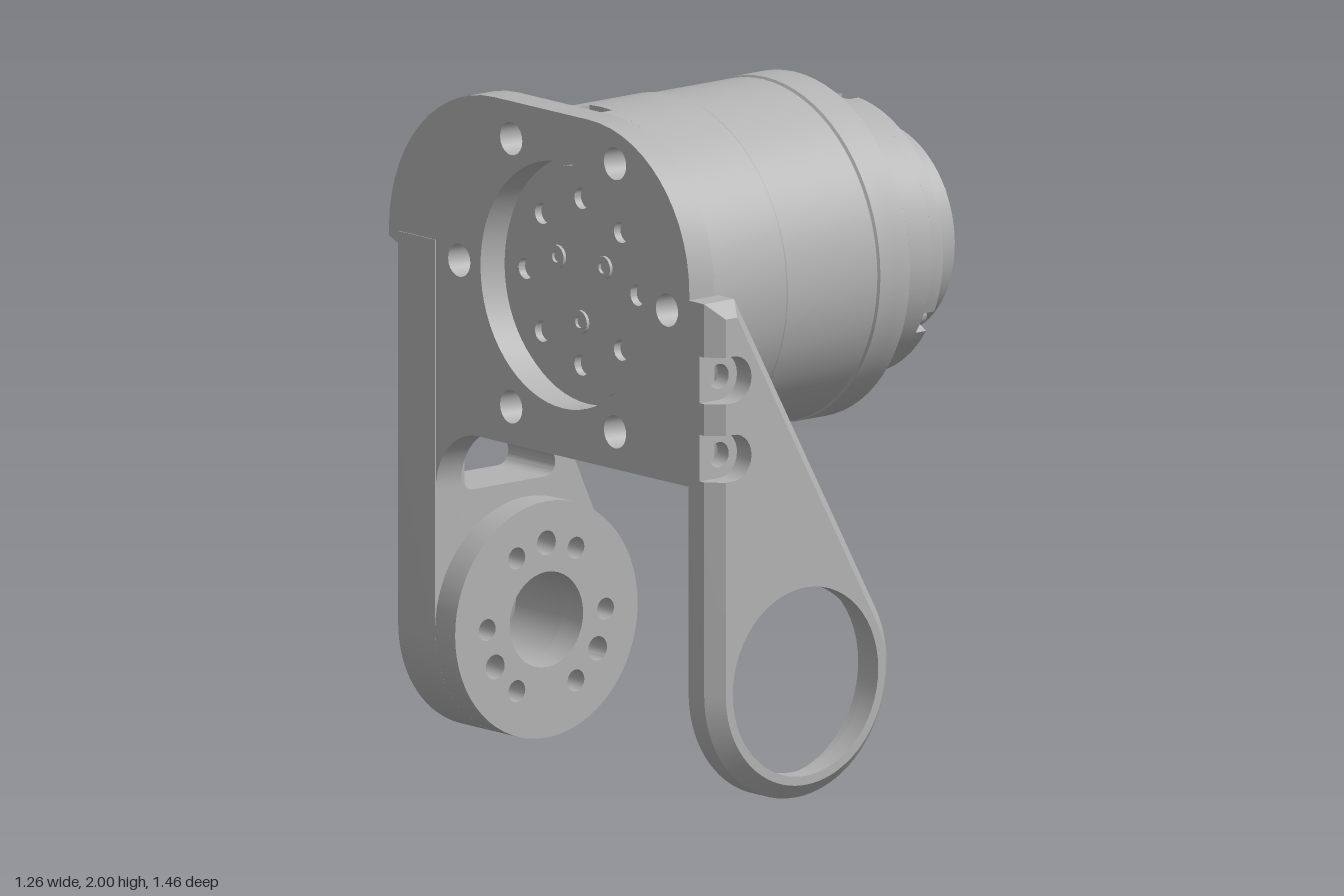
import * as THREE from 'three';
import { toCreasedNormals } from 'three/addons/utils/BufferGeometryUtils.js';

const metal = new THREE.MeshStandardMaterial({ color: 0xb2b2b2 });
metal.name = 'grey metal';
const V = (x, y) => new THREE.Vector2(x, y);
const PI = Math.PI, DEG = PI / 180;

function add(parent, name, geometry) {
  const mesh = new THREE.Mesh(toCreasedNormals(geometry, 0.5), metal);
  mesh.name = name;
  parent.add(mesh);
  return mesh;
}

// points along an arc, ends included
function arc(cx, cy, r, a0, a1, n) {
  return Array.from({ length: n + 1 }, (_, i) => {
    const a = a0 + (a1 - a0) * i / n;
    return V(cx + r * Math.cos(a), cy + r * Math.sin(a));
  });
}
const circle = (cx, cy, r, n = 20) => arc(cx, cy, r, 0, 2 * PI, n).slice(0, -1);
const ringOfHoles = (cx, cy, R, r, count, start) => Array.from({ length: count }, (_, i) => {
  const a = (start + i * 360 / count) * DEG;
  return circle(cx + R * Math.cos(a), cy + R * Math.sin(a), r);
});

// polygon from [x, y, radius] corners with true arc fillets
function fillet(corners) {
  const n = corners.length, out = [];
  corners.forEach(([x, y, r = 0], i) => {
    const p = V(x, y);
    if (!r) return out.push(p);
    const u = V(...corners[(i + n - 1) % n]).sub(p).normalize();
    const w = V(...corners[(i + 1) % n]).sub(p).normalize();
    const half = Math.acos(u.dot(w)) / 2;
    const t = r / Math.tan(half);
    const c = p.clone().add(u.clone().add(w).normalize().multiplyScalar(r / Math.sin(half)));
    const s = p.clone().addScaledVector(u, t).sub(c).angle();
    let d = p.clone().addScaledVector(w, t).sub(c).angle() - s;
    if (d > PI) d -= 2 * PI;
    if (d < -PI) d += 2 * PI;
    out.push(...arc(c.x, c.y, r, s, s + d, 14));
  });
  return out;
}

// plate along z with holes; top outline may be smaller to give a chamfer of height c
function slab(outline, z0, z1, holes = [], inset = outline, c = 0) {
  const pos = [];
  const band = (a, za, b, zb) => a.forEach((p, i) => {
    const j = (i + 1) % a.length, q = a[j], s = b[i], t = b[j];
    pos.push(p.x, p.y, za, q.x, q.y, za, t.x, t.y, zb, p.x, p.y, za, t.x, t.y, zb, s.x, s.y, zb);
  });
  const cuts = holes.map(h => h.slice().reverse());
  const cap = (ring, z, up) => {
    const all = [ring, ...cuts].flat();
    for (const f of THREE.ShapeUtils.triangulateShape(ring.slice(), cuts.map(h => h.slice())))
      for (const k of up ? f : [f[0], f[2], f[1]]) pos.push(all[k].x, all[k].y, z);
  };
  band(outline, z0, outline, z1 - c);
  if (c) band(outline, z1 - c, inset, z1);
  cuts.forEach(h => band(h, z0, h, z1));
  cap(outline, z0, false);
  cap(inset, z1, true);
  const g = new THREE.BufferGeometry();
  g.setAttribute('position', new THREE.Float32BufferAttribute(pos, 3));
  return g;
}

// teardrop arm outline: round foot, straight left side, sloped right side
const FOOT = V(-0.28, 0.355);
function teardrop(angle, top, c = 0, pockets = []) {
  const r = 0.355 - c, a = angle * DEG, left = FOOT.x - r, y = top - c;
  const xTop = FOOT.x + (r - Math.sin(a) * (y - FOOT.y)) / Math.cos(a);
  const pts = [V(xTop, y), V(left, y)];
  for (const py of pockets)
    pts.push(V(left, py + 0.07), ...arc(-0.56, py, 0.07, PI / 2, -PI / 2, 14), V(left, py - 0.07));
  return [...pts, ...arc(FOOT.x, FOOT.y, r, PI, 2 * PI + a, 48)];
}

// disc outline with U-shaped notches cut into the rim
function notchedDisc(R, rc, w, count, start) {
  const pts = [], step = 2 * PI / count, h = Math.asin(w / R);
  for (let i = 0; i < count; i++) {
    const a = start * DEG + i * step, ca = Math.cos(a), sa = Math.sin(a);
    for (const t of arc(0, 0, w, -PI / 2, PI / 2, 10)) {
      const rad = rc - t.x;
      pts.push(V(rad * ca - t.y * sa, rad * sa + t.y * ca));
    }
    pts.push(...arc(0, 0, R, a + h, a + step - h, Math.round(72 / count)));
  }
  return pts;
}

// turned part along x, profile as [radius, x]
function turned(profile, segments = 72) {
  return new THREE.LatheGeometry(profile.map(p => V(...p)), segments).rotateZ(-PI / 2);
}

// socket head screws on a circle, heads ending at x; turn = PI faces them to -x
function screws(parent, name, count, start, R, r, x, turn = 0) {
  for (let i = 0; i < count; i++) {
    const a = (start + i * 360 / count) * DEG;
    const g = turned([[0, -0.04], [r, -0.04], [r, 0], [r * 0.5, 0], [r * 0.5, -0.015], [0, -0.015]], 16);
    const screw = add(parent, name, g);
    screw.position.set(x, R * Math.sin(a), R * Math.cos(a));
    screw.rotation.y = turn;
  }
}

export function createModel() {
  const model = new THREE.Group();
  model.name = 'jointModule';

  // motor, built around its own x axis
  const motor = new THREE.Group();
  motor.name = 'motor';
  motor.position.set(0, 1.485, 0.05);
  model.add(motor);
  const along = g => g.rotateY(PI / 2);

  add(motor, 'rearNotchedRing', along(slab(notchedDisc(0.515, 0.47, 0.05, 6, 30), -0.535, -0.485)));
  add(motor, 'housing', turned([[0, -0.485], [0.515, -0.485], [0.515, -0.21], [0.507, -0.205],
    [0.51, -0.2], [0.51, 0.145], [0.507, 0.15], [0.515, 0.155], [0.515, 0.22], [0, 0.22]]));
  add(motor, 'frontFlange', along(slab(circle(0, 0, 0.515, 72), 0.22, 0.27,
    [...ringOfHoles(0, 0, 0.465, 0.042, 6, 30), ...ringOfHoles(0, 0, 0.465, 0.03, 6, 0)])));
  screws(motor, 'flangeScrew', 6, 30, 0.465, 0.034, 0.262);
  screws(motor, 'flangeInsert', 6, 0, 0.465, 0.02, 0.26);

  // gear housing with a flat underneath and three screw notches at its lip
  add(motor, 'gearHousing', turned([[0, 0.26], [0.415, 0.26], [0.415, 0.355], [0, 0.355]]));
  const flat = Math.asin(0.385 / 0.415);
  add(motor, 'gearHousingFlat', along(slab(arc(0, 0, 0.415, -flat, PI + flat, 68), 0.355, 0.445)));
  add(motor, 'gearHousingLip', along(slab(notchedDisc(0.415, 0.375, 0.037, 3, 90), 0.445, 0.485)));
  screws(motor, 'lipScrew', 3, 90, 0.375, 0.03, 0.475);
  const port = slab(fillet([[-0.1, -0.03, 0.01], [0.1, -0.03, 0.01], [0.1, 0.03, 0.01], [-0.1, 0.03, 0.01]]),
    0, 0.012, [fillet([[-0.08, -0.018], [0.08, -0.018], [0.08, 0.018], [-0.08, 0.018]])]);
  add(motor, 'connectorRim', port.rotateX(PI / 2).rotateY(PI / 2)).position.set(0.4, -0.384, 0);

  // output flange with bore
  add(motor, 'outputFlange', turned([[0.265, 0.47], [0.265, 0.535], [0.315, 0.535], [0.315, 0.617], [0.307, 0.625],
    [0.262, 0.625], [0.258, 0.617], [0.238, 0.617], [0.235, 0.622], [0.205, 0.622], [0.19, 0.61],
    [0.19, 0.487], [0, 0.487]]));
  screws(motor, 'outputScrew', 12, 0, 0.285, 0.02, 0.628);

  // rear cover disc inside the plate opening
  add(motor, 'rearDisc', slab(circle(0, 0, 0.345, 64), 0.53, 0.56,
    ringOfHoles(0, 0, 0.25, 0.032, 8, 0)).rotateY(-PI / 2));
  screws(motor, 'rearScrew', 3, 30, 0.12, 0.035, -0.57, PI);

  // upright mounting plate, outer face towards -x
  const plate = fillet([[0.615, 0.97], [0.615, 2, 0.45], [-0.73, 2, 0.47], [-0.73, 1.51], [-0.685, 1.49],
    [-0.685, 0.6], [-0.52, 0.6], [-0.52, 0.97, 0.19]]);
  add(model, 'mountingPlate', slab(plate, 0.535, 0.632,
    [circle(0.05, 1.485, 0.37, 64), ...ringOfHoles(0.05, 1.485, 0.465, 0.05, 6, 0)]).rotateY(-PI / 2));

  // rear arm, outer face towards -z, so its outline is mirrored in x
  const mirror = pts => pts.map(p => V(-p.x, p.y)).reverse();
  const bores = r => [circle(FOOT.x, FOOT.y, 0.143, 40), ...ringOfHoles(FOOT.x, FOOT.y, 0.23, r, 6, 0)];
  const windowCut = fillet([[-0.52, 0.76, 0.03], [-0.14, 0.76, 0.04], [-0.38, 1.2, 0.04], [-0.52, 1.2, 0.03]]);
  add(model, 'rearArm', slab(mirror(teardrop(24.5, 1.53)), 0.52, 0.73,
    [...bores(0.058), windowCut].map(mirror), mirror(teardrop(24.5, 1.53, 0.045)), 0.045).rotateY(PI));
  add(model, 'rearHub', slab(circle(FOOT.x, FOOT.y, 0.355, 64), -0.52, -0.43,
    [...bores(0.033), ...ringOfHoles(FOOT.x, FOOT.y, 0.23, 0.037, 3, 90)]));
  // thicker web tying the arm to the plate
  add(model, 'rearGusset', slab([V(-0.211, 0.89), V(-0.134, 0.89), V(-0.535, 1.77), V(-0.6, 1.77),
    V(-0.6, 1.2), V(-0.38, 1.2)], -0.66, -0.47));

  // front arm with a large bearing opening and two open screw pockets
  const pockets = [1.3, 1.065];
  add(model, 'frontArmBase', slab(teardrop(28.7, 1.53), 0.615, 0.665,
    [circle(FOOT.x, FOOT.y, 0.305, 56), ...pockets.map(y => circle(-0.56, y, 0.038))]));
  add(model, 'frontArmFace', slab(teardrop(28.7, 1.53, 0, pockets), 0.665, 0.73,
    [circle(FOOT.x, FOOT.y, 0.283, 56)], teardrop(28.7, 1.53, 0.045, pockets), 0.045));

  return model;
}
